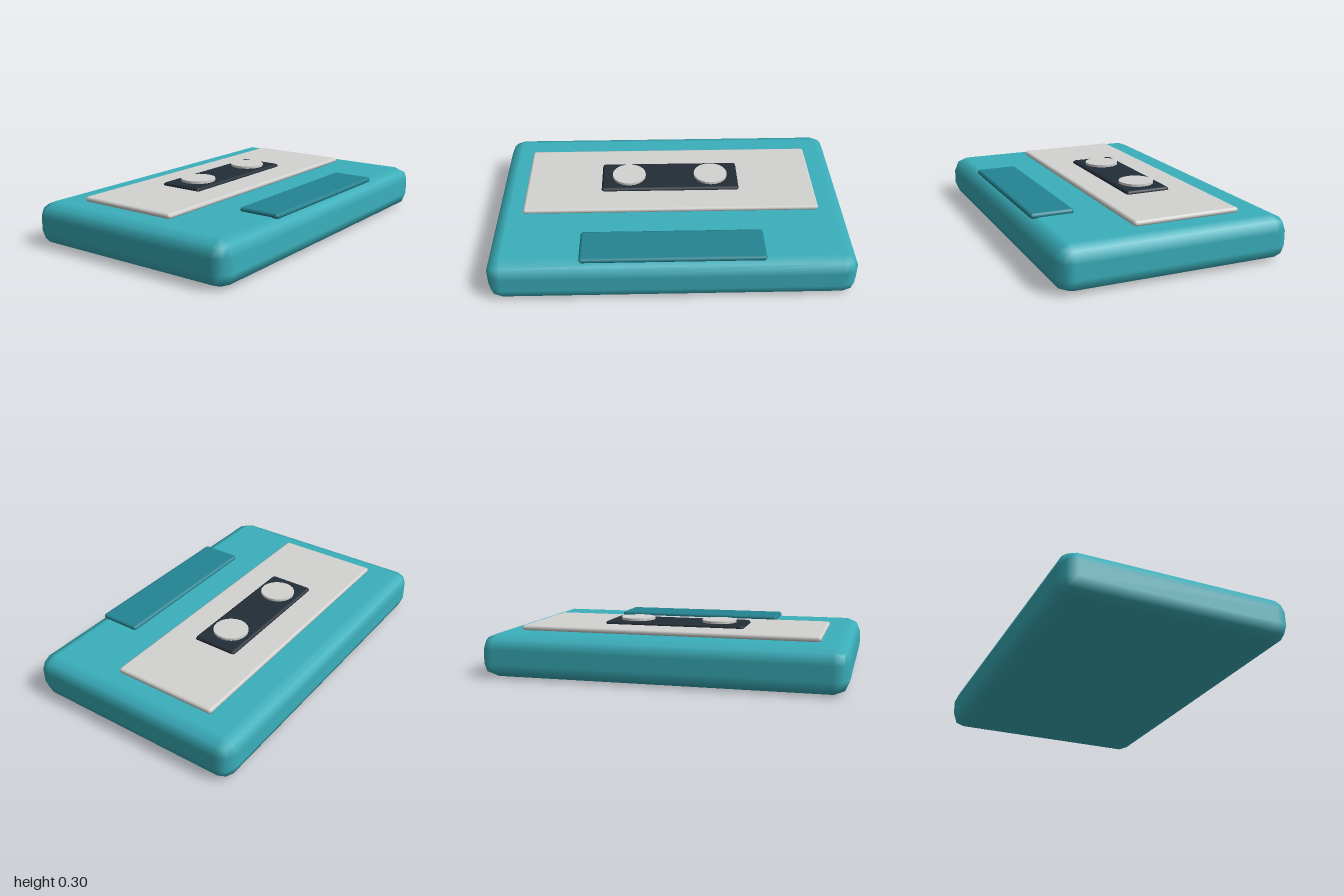
import * as THREE from 'three';
import { RoundedBoxGeometry } from 'three/addons/geometries/RoundedBoxGeometry.js';

const material = (name, color) => {
  const m = new THREE.MeshStandardMaterial({ color });
  m.name = name;
  return m;
};

export function createModel() {
  const group = new THREE.Group();
  group.name = 'cassette';

  const teal = material('teal', 0x3aafbb);
  const darkTeal = material('dark teal', 0x248492);
  const paper = material('pale grey', 0xd3d3d1);
  const dark = material('dark slate', 0x232d37);

  const add = (name, geometry, mat, x, y, z) => {
    const mesh = new THREE.Mesh(geometry, mat);
    mesh.name = name;
    mesh.position.set(x, y, z);
    group.add(mesh);
  };
  // Box with a two-step rounded edge
  const slab = (w, h, d, r) => new RoundedBoxGeometry(w, h, d, 1, r);

  // Shell
  add('shell', slab(2, 0.24, 1.276, 0.08), teal, 0, 0.12, 0);

  // Label, window and raised tape edge
  add('label', slab(1.68, 0.03, 0.6, 0.015), paper, 0, 0.254, -0.12);
  add('window', slab(0.8, 0.03, 0.26, 0.015), dark, 0, 0.271, -0.12);
  add('tapeEdge', slab(1, 0.03, 0.24, 0.015), darkTeal, 0, 0.247, 0.48);

  // Reel hubs
  for (const [name, x] of [['leftHub', 0.24], ['rightHub', -0.24]]) {
    add(name, new THREE.CylinderGeometry(0.098, 0.098, 0.03, 20), paper, x, 0.285, -0.12);
  }

  return group;
}
